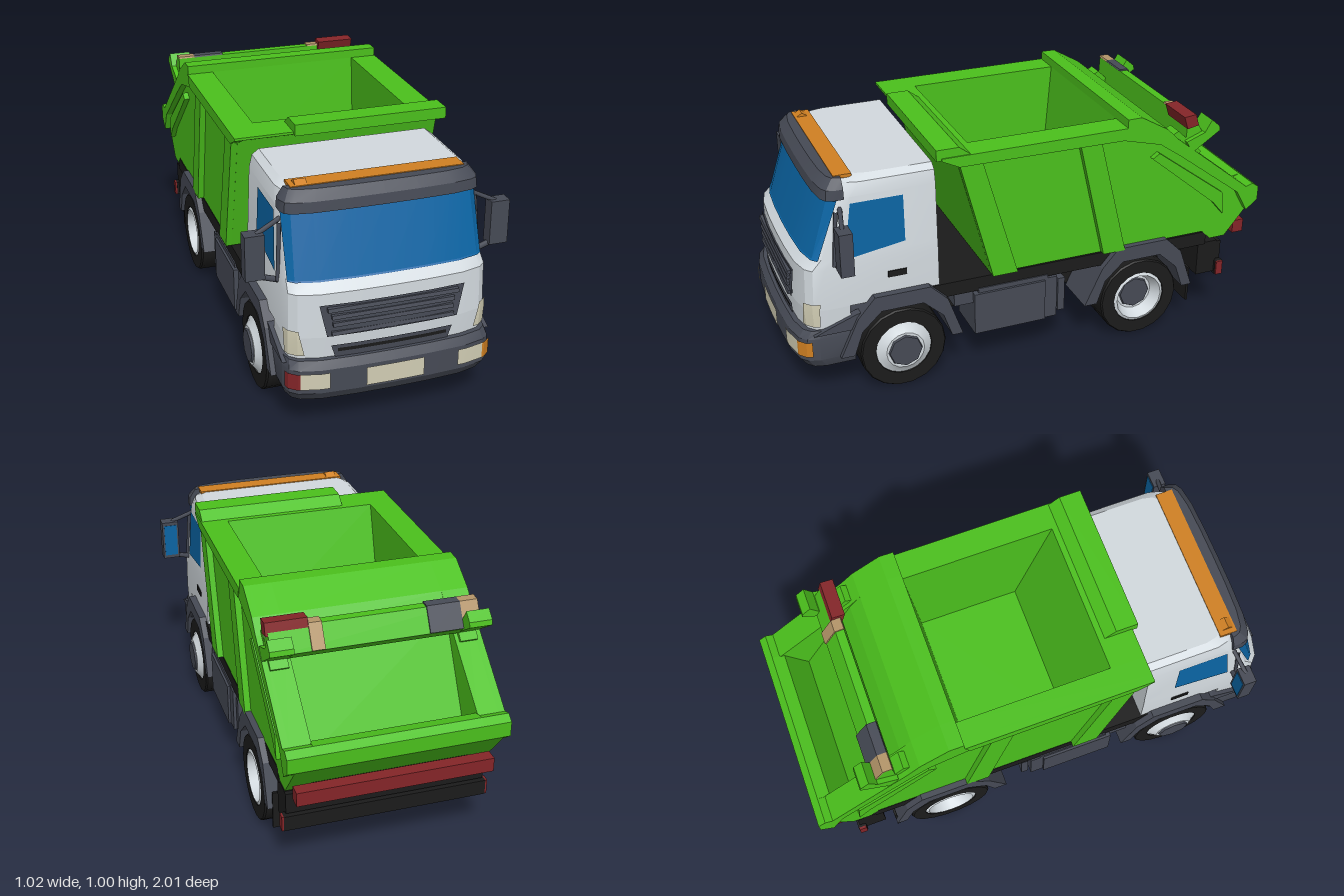
import * as THREE from 'three';
import { toCreasedNormals } from 'three/addons/utils/BufferGeometryUtils.js';

const mat = (name, color, side = THREE.FrontSide) => {
  const m = new THREE.MeshStandardMaterial({ color, side });
  m.name = name;
  return m;
};

// Cross-section across the nose: fraction of half width -> setback of the front face
const NODES = [-1, -0.97, -0.9, -0.7, -0.35, 0, 0.35, 0.7, 0.9, 0.97, 1];
const DROP = [[0, 0], [0.35, 0.002], [0.7, 0.01], [0.9, 0.03], [0.97, 0.055], [1, 0.1]];
const table = (rows, t, k = 1) => {
  let i = 1;
  while (i < rows.length - 1 && rows[i][0] < t) i++;
  const a = rows[i - 1], b = rows[i];
  return a[k] + (b[k] - a[k]) * (t - a[0]) / (b[0] - a[0]);
};

// Levels are [y, front z, half width]
const CAB = [[0.3, 0.96, 0.387], [0.4, 0.965, 0.39], [0.57, 0.958, 0.388], [0.61, 0.92, 0.384],
  [0.85, 0.845, 0.374], [0.9, 0.8, 0.362], [0.92, 0.76, 0.335]];
const BUMPER = [[0.15, 0.975, 0.385], [0.19, 1, 0.4], [0.285, 1, 0.4], [0.315, 0.98, 0.392]];
const VISOR = [[0.845, 0.865, 0.377], [0.885, 0.86, 0.374], [0.921, 0.83, 0.35]];

function grid(rows, closed) {
  const pos = [];
  const n = rows[0].length;
  for (let j = 0; j < rows.length - 1; j++) {
    for (let i = 0; i < (closed ? n : n - 1); i++) {
      const a = rows[j][i], b = rows[j][(i + 1) % n], c = rows[j + 1][(i + 1) % n], d = rows[j + 1][i];
      pos.push(...a, ...b, ...c, ...a, ...c, ...d);
    }
  }
  if (closed) {
    const lo = rows[0], hi = rows[rows.length - 1];
    for (let i = 1; i < n - 1; i++) pos.push(...hi[0], ...hi[i], ...hi[i + 1], ...lo[0], ...lo[i + 1], ...lo[i]);
  }
  const g = new THREE.BufferGeometry();
  g.setAttribute('position', new THREE.Float32BufferAttribute(pos, 3));
  g.computeVertexNormals();
  return toCreasedNormals(g, 0.4);
}

// Solid stacked from nose-shaped sections with a flat back
const loft = (levels, back, bow = 1) => grid(levels.map(([y, zf, hw]) => [
  ...NODES.map(u => [u * hw, y, zf - bow * table(DROP, Math.abs(u))]), [hw, y, back], [-hw, y, back]]), true);

// Thin skin that follows a nose-shaped solid; lo and hi are width fractions at its bottom and top
function skin(levels, y0, y1, lo, hi, off = 0.006) {
  const ys = [y0, ...levels.map(l => l[0]).filter(y => y > y0 && y < y1), y1];
  const inner = NODES.filter(u => u > Math.max(lo[0], hi[0]) && u < Math.min(lo[1], hi[1]));
  return grid(ys.map(y => {
    const t = (y - y0) / (y1 - y0);
    const ends = [0, 1].map(k => lo[k] + (hi[k] - lo[k]) * t);
    return [ends[0], ...inner, ends[1]].map(u => [u * table(levels, y, 2) + off * u ** 5, y,
      table(levels, y, 1) - table(DROP, Math.abs(u)) + off]);
  }), false);
}

// Extrude a [z, y] outline from x0 to x1
function slab(points, x0, x1) {
  const shape = new THREE.Shape(points.map(p => new THREE.Vector2(...p)));
  return new THREE.ExtrudeGeometry(shape, { depth: x1 - x0, bevelEnabled: false }).rotateY(-Math.PI / 2).translate(x1, 0, 0);
}

const box = (x0, x1, y0, y1, z0, z1) => new THREE.BoxGeometry(x1 - x0, y1 - y0, z1 - z0)
  .translate((x0 + x1) / 2, (y0 + y1) / 2, (z0 + z1) / 2);

function rod(a, b, r) {
  const path = new THREE.LineCurve3(new THREE.Vector3(...a), new THREE.Vector3(...b));
  return new THREE.TubeGeometry(path, 1, r, 6);
}

export function createModel() {
  const truck = new THREE.Group();
  truck.name = 'tipperTruck';
  const green = mat('bodyGreen', 0x4bc01c), white = mat('cabWhite', 0xd2d9de, THREE.DoubleSide);
  const grey = mat('trimGrey', 0x464a55), black = mat('chassisBlack', 0x1b1b1b);
  const blue = mat('glassBlue', 0x0a64a3, THREE.DoubleSide), cream = mat('lampCream', 0xd1cdb4);
  const orange = mat('signalOrange', 0xd08022), red = mat('signalRed', 0x842528), tan = mat('markerTan', 0xb39468);
  const add = (name, geometry, material, parent = truck) => {
    const m = new THREE.Mesh(geometry, material);
    m.name = name;
    parent.add(m);
  };

  // Cab
  add('cab', loft(CAB.slice(1), 0.41), white);
  add('cabNose', loft(CAB.slice(0, 2), 0.77), white);
  add('windscreen', skin(CAB, 0.605, 0.85, [-0.955, 0.955], [-0.975, 0.975]), blue);
  add('sunVisor', loft(VISOR, 0.765, 0.6), grey);
  add('roofBeacon', box(-0.33, 0.33, 0.91, 0.924, 0.72, 0.79), orange);
  add('beaconPeak', slab([[0.79, 0.92], [0.76, 0.938], [0.73, 0.92]], -0.31, -0.265), orange);
  add('grille', skin(CAB, 0.405, 0.53, [-0.64, 0.64], [-0.71, 0.71], 0.008), grey);
  for (const [y, w] of [[0.42, 0.235], [0.455, 0.23], [0.485, 0.235], [0.515, 0.25]])
    add('grilleLouvre', slab([[0.95, y - 0.007], [0.976, y - 0.009], [0.972, y + 0.005], [0.95, y + 0.008]], -w, w), grey);
  add('lowerGrille', skin(CAB, 0.31, 0.365, [-0.56, 0.56], [-0.6, 0.6]), grey);
  add('lowerGrilleSlot', skin(CAB, 0.338, 0.352, [-0.54, 0.54], [-0.54, 0.54], 0.009), black);

  // Bumper and front lamps
  add('bumper', loft(BUMPER, 0.76), grey);
  add('numberPlate', skin(BUMPER, 0.2, 0.275, [-0.28, 0.28], [-0.28, 0.28]), cream);
  for (const s of [-1, 1]) {
    const span = (a, b) => (s > 0 ? [a, b] : [-b, -a]);
    add('headlamp', skin(BUMPER, 0.21, 0.275, span(0.62, 0.88), span(0.62, 0.88)), cream);
    add('indicator', skin(BUMPER, 0.21, 0.275, span(0.88, 0.985), span(0.88, 0.985)), s > 0 ? orange : red);
    add('cornerLamp', skin(CAB, 0.33, 0.43, span(0.84, 0.985), span(0.89, 0.99)), cream);
  }

  // Chassis
  add('frame', box(-0.23, 0.23, 0.2, 0.41, -0.84, 0.94), black);
  add('deck', box(-0.395, 0.395, 0.355, 0.415, -0.78, 0.5), black);
  for (const z of [0.57, -0.465]) add('axle', box(-0.25, 0.25, 0.11, 0.22, z - 0.06, z + 0.06), black);
  add('rearCrossbeam', box(-0.39, 0.39, 0.27, 0.355, -0.86, -0.76), black);
  add('rearBumperBar', box(-0.4, 0.4, 0.2, 0.262, -0.87, -0.835), black);

  // Wheels, arches, tanks, windows and mirrors, once for each side
  const tyreProfile = [[0.1, -0.095], [0.172, -0.095], [0.175, -0.088], [0.175, 0.085], [0.17, 0.092], [0.115, 0.092], [0.1, 0.06]];
  const lathe = (pts, n) => toCreasedNormals(
    new THREE.LatheGeometry(pts.map(p => new THREE.Vector2(...p)), n).rotateZ(-Math.PI / 2), 0.5);
  const archShape = z => [[z + 0.255, 0.19], [z + 0.18, 0.35], [z + 0.11, 0.43], [z - 0.115, 0.43], [z - 0.185, 0.36],
    [z - 0.245, 0.19], [z - 0.2, 0.19], [z - 0.165, 0.29], [z - 0.085, 0.365], [z + 0.085, 0.365], [z + 0.165, 0.29], [z + 0.2, 0.19]];
  for (const s of [-1, 1]) {
    const x = (a, b) => (s > 0 ? [a, b] : [-b, -a]);
    const sideBox = (a, b, ...rest) => box(...x(a, b), ...rest);
    const sideSlab = (pts, a, b) => slab(pts, ...x(a, b));
    for (const [name, z, face] of [['frontWheel', 0.57, 0.112], ['rearWheel', -0.465, 0.045]]) {
      const wheel = new THREE.Group();
      wheel.name = name;
      wheel.position.set(s * 0.32, 0.175, z);
      wheel.rotation.y = s > 0 ? 0 : Math.PI;
      add('tyre', lathe(tyreProfile, 18), black, wheel);
      add('rim', lathe([[0.115, 0.088], [0.102, 0.094], [0.078, face], [0, face]], 16), white, wheel);
      add('hub', new THREE.CylinderGeometry(0.066, 0.074, 0.016, 8).rotateZ(-Math.PI / 2).translate(face, 0, 0), grey, wheel);
      add('tyreBack', new THREE.CylinderGeometry(0.105, 0.105, 0.02, 16).rotateZ(Math.PI / 2).translate(-0.08, 0, 0), black, wheel);
      truck.add(wheel);
      add('wheelArch', sideSlab(archShape(z), 0.23, 0.42), grey);
    }
    add('archExtension', sideSlab([[0.72, 0.3], [0.92, 0.3], [0.86, 0.325], [0.75, 0.365], [0.72, 0.37]], 0.37, 0.405), grey);
    add('sideTank', sideBox(0.22, 0.41, 0.165, 0.345, -0.035, 0.27), grey);
    add('tankEnd', sideBox(0.22, 0.4, 0.165, 0.35, -0.09, -0.035), grey);
    add('tankStep', sideBox(0.22, 0.39, 0.18, 0.33, -0.13, -0.1), grey);
    add('tankLid', sideBox(0.3, 0.4, 0.345, 0.365, -0.05, 0.25), grey);
    add('batteryBox', sideBox(0.25, 0.39, 0.3, 0.36, 0.27, 0.35), grey);
    add('mudflap', sideBox(0.24, 0.4, 0.1, 0.26, -0.71, -0.7), black);
    add('rearBracket', sideBox(0.25, 0.39, 0.21, 0.36, -0.84, -0.75), black);
    add('barEndLamp', sideBox(0.398, 0.408, 0.2, 0.262, -0.868, -0.838), red);

    // Side window and door handle
    const glass = [[0.6, 0.78], [0.635, 0.54], [0.825, 0.54], [0.825, 0.745]]
      .map(([y, z]) => [s * (table(CAB, y, 2) + 0.003), y, z]);
    add('sideWindow', grid([[glass[0], glass[1]], [glass[3], glass[2]]], false), blue);
    add('doorHandle', sideBox(0.38, 0.393, 0.492, 0.518, 0.54, 0.615), black);

    // Mirror
    add('mirrorHousing', sideBox(0.435, 0.508, 0.595, 0.77, 0.773, 0.825), grey);
    add('mirrorGlass', sideBox(0.443, 0.5, 0.61, 0.755, 0.771, 0.774), blue);
    add('mirrorArm', rod([s * 0.36, 0.81, 0.78], [s * 0.46, 0.765, 0.8], 0.009), grey);
    add('mirrorArm', rod([s * 0.37, 0.575, 0.81], [s * 0.46, 0.6, 0.8], 0.011), grey);
    add('mirrorStay', rod([s * 0.375, 0.8, 0.8], [s * 0.388, 0.58, 0.82], 0.008), grey);

    // Hopper side wall with ribs, flange and tailgate strut
    add('hopperSide', sideSlab([[0.4, 0.955], [0.4, 0.965], [-0.37, 0.965], [-0.37, 1], [-0.43, 1],
      [-0.55, 0.93], [-0.6, 0.88], [-0.94, 0.61], [-0.97, 0.62], [-1, 0.6], [-1, 0.54], [-0.87, 0.38], [-0.8, 0.38],
      [-0.76, 0.42], [0.195, 0.42], [0.33, 0.925]], 0.315, 0.395), green);
    add('topFlange', sideSlab([[0.4, 0.955], [0.4, 0.965], [-0.37, 0.965], [-0.35, 0.915], [0.33, 0.92]], 0.39, 0.425), green);
    add('frontRib', sideSlab([[0.33, 0.93], [0.235, 0.92], [0.09, 0.42], [0.195, 0.42]], 0.39, 0.42), green);
    add('middleRib', sideSlab([[-0.17, 0.92], [-0.26, 0.92], [-0.385, 0.42], [-0.287, 0.42]], 0.39, 0.42), green);
    add('tailFlange', sideSlab([[-0.37, 0.965], [-0.37, 1], [-0.43, 1], [-0.55, 0.93], [-0.6, 0.88], [-0.94, 0.61], [-0.97, 0.62],
      [-1, 0.6], [-1, 0.54], [-0.95, 0.5], [-0.9, 0.59], [-0.62, 0.8], [-0.52, 0.87], [-0.35, 0.915]], 0.39, 0.422), green);
    add('tailStrut', sideSlab([[-0.49, 0.81], [-0.52, 0.83], [-0.83, 0.6], [-0.84, 0.5], [-0.79, 0.56]], 0.39, 0.418), green);
    add('beamBracket', sideSlab([[-0.64, 0.86], [-0.67, 0.81], [-0.79, 0.89], [-0.785, 0.91], [-0.75, 0.94], [-0.72, 0.89]], 0.33, 0.42), green);
    add('beamFoot', sideSlab([[-0.58, 0.89], [-0.7, 0.78], [-0.72, 0.8], [-0.61, 0.905]], 0.33, 0.4), green);
  }

  // Hopper middle: front wall, floor, ridge and rear scoop in one section
  add('hopperBody', slab([[0.4, 0.955], [0.4, 0.965], [0.26, 0.965], [0.1, 0.46], [-0.33, 0.46],
    [-0.37, 0.965], [-0.37, 1], [-0.43, 1], [-0.55, 0.93], [-0.6, 0.87], [-0.84, 0.46], [-0.92, 0.61], [-0.97, 0.62],
    [-1, 0.6], [-1, 0.54], [-0.87, 0.38], [-0.8, 0.38], [-0.76, 0.42], [0.195, 0.42], [0.33, 0.925]], -0.318, 0.318), green);
  add('frontHood', slab([[0.42, 0.955], [0.42, 1], [0.33, 1], [0.28, 0.962]], -0.195, 0.42), green);

  // Tailgate beam with end markers, and the red bar below the scoop
  add('tailBeam', slab([[-0.645, 0.85], [-0.65, 0.945], [-0.685, 0.945], [-0.735, 0.86], [-0.69, 0.82]], -0.4, 0.4), green);
  add('markerLampLeft', slab([[-0.628, 0.965], [-0.645, 0.912], [-0.695, 0.922], [-0.68, 0.97]], 0.25, 0.41), red);
  const plate = [[-0.647, 0.945], [-0.65, 0.952], [-0.688, 0.951], [-0.74, 0.864], [-0.733, 0.86], [-0.684, 0.945]];
  add('markerPlateLeft', slab(plate, 0.2, 0.25), tan);
  add('markerPlateRight', slab(plate, -0.33, -0.2), grey);
  add('markerLampRight', slab(plate, -0.4, -0.33), tan);
  add('rearRedBar', box(-0.38, 0.38, 0.375, 0.432, -0.97, -0.92), red);
  add('redBarMount', box(-0.3, 0.3, 0.39, 0.42, -0.92, -0.86), black);
  return truck;
}
